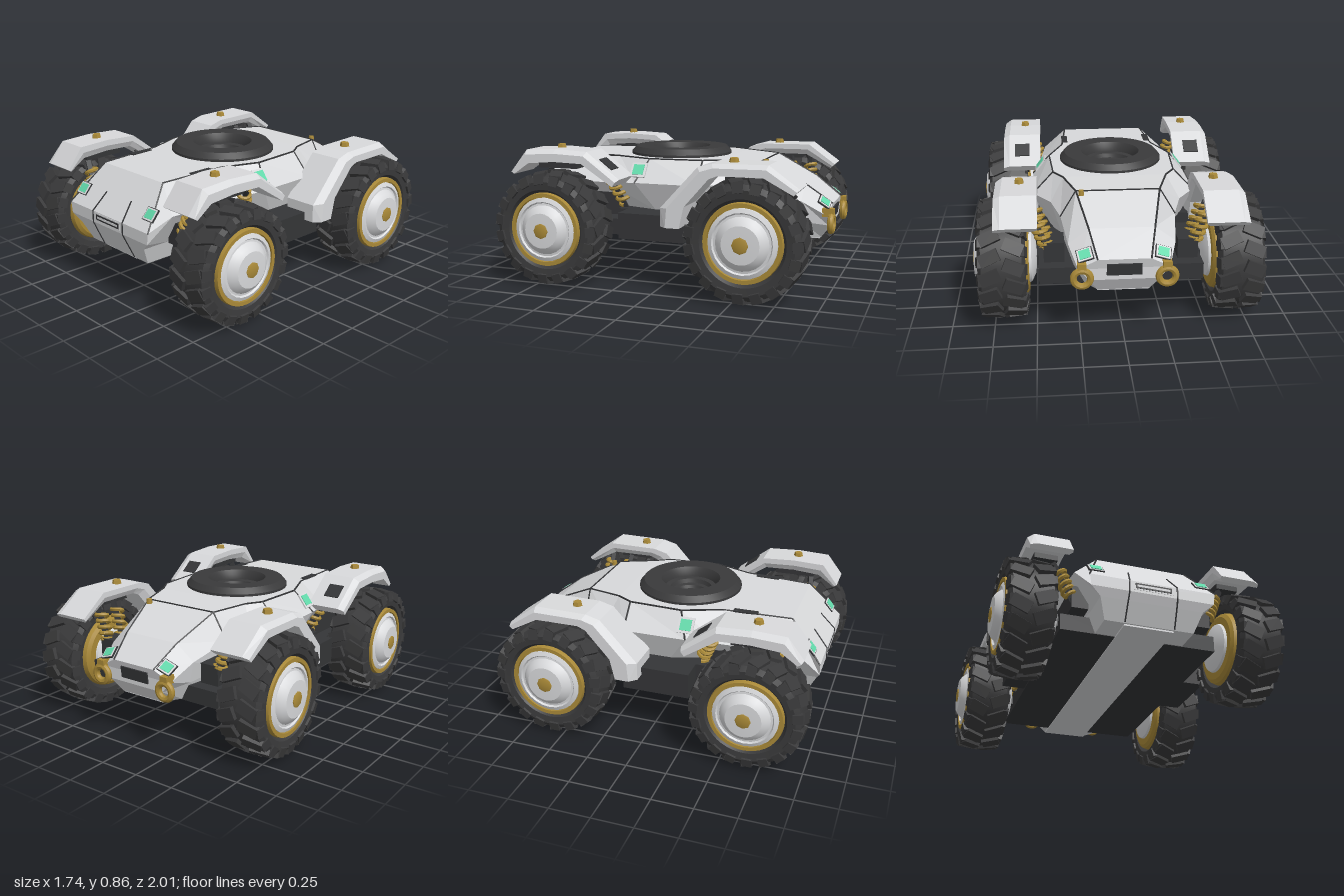
import * as THREE from 'three';
import { mergeGeometries, toCreasedNormals } from 'three/addons/utils/BufferGeometryUtils.js';

const paint = (name, color) => Object.assign(new THREE.MeshStandardMaterial({ color }), { name });
const M = {
  white: paint('hull white', 0xd8d9db),
  tire: paint('rubber', 0x3a3a3b),
  dark: paint('chassis dark', 0x343537),
  gold: paint('gold metal', 0xaa8a38),
  teal: paint('light teal', 0x62d9aa),
};

// Crease hard edges and drop uvs so everything can be merged
function clean(g) {
  g.deleteAttribute('uv');
  return toCreasedNormals(g, 0.5);
}
const merge = (list) => mergeGeometries(list.map(clean));
const box = (w, h, d, x, y, z, rx = 0, rz = 0) =>
  new THREE.BoxGeometry(w, h, d).rotateX(rx).rotateZ(rz).translate(x, y, z);

// Mirror across x = 0, keeping outward winding
function mirror(g) {
  const m = g.index ? g.toNonIndexed() : g.clone();
  m.scale(-1, 1, 1);
  m.setIndex([...Array(m.attributes.position.count).keys()].reverse());
  return m.toNonIndexed();
}

// Capped solid through equal-length rings, flat faces; isOpen skips chosen quads
function loft(rings, isOpen = () => false) {
  const n = rings[0].length, idx = [];
  for (let r = 0; r < rings.length - 1; r++) {
    for (let i = 0; i < n; i++) {
      const a = r * n + i, b = r * n + ((i + 1) % n);
      if (!isOpen(r, i)) idx.push(a, b, a + n, b, b + n, a + n);
    }
  }
  const e = (rings.length - 1) * n;
  // Caps as strips between opposite sides of the ring
  for (let i = 0; i < n / 2 - 1; i++) {
    const j = n - 1 - i;
    idx.push(i, j, i + 1, j, j - 1, i + 1);
    idx.push(e + i, e + i + 1, e + j, e + j, e + i + 1, e + j - 1);
  }
  const P = rings.flat().map((p) => new THREE.Vector3(...p));
  let vol = 0;
  for (let i = 0; i < idx.length; i += 3) vol += P[idx[i]].dot(P[idx[i + 1]].clone().cross(P[idx[i + 2]]));
  if (vol < 0) idx.reverse();
  const g = new THREE.BufferGeometry().setFromPoints(P);
  g.setIndex(idx);
  const flat = g.toNonIndexed();
  flat.computeVertexNormals();
  return flat;
}

// Thin bar from a to b
function bar(a, b, w = 0.008) {
  const A = new THREE.Vector3(...a), B = new THREE.Vector3(...b);
  const q = new THREE.Quaternion().setFromUnitVectors(new THREE.Vector3(0, 0, 1), B.clone().sub(A).normalize());
  return new THREE.BoxGeometry(w, w, A.distanceTo(B)).applyQuaternion(q).translate(...A.add(B).multiplyScalar(0.5).toArray());
}

// Helical spring from a to b
function coil(a, b, turns = 5, r = 0.035) {
  const A = new THREE.Vector3(...a), d = new THREE.Vector3(...b).sub(A);
  const q = new THREE.Quaternion().setFromUnitVectors(new THREE.Vector3(0, 1, 0), d.clone().normalize());
  const pts = Array.from({ length: turns * 8 + 1 }, (_, i) => {
    const t = (i * Math.PI) / 4;
    return new THREE.Vector3(r * Math.cos(t), 0, r * Math.sin(t)).applyQuaternion(q).add(A).addScaledVector(d, i / (turns * 8));
  });
  return new THREE.TubeGeometry(new THREE.CatmullRomCurve3(pts), turns * 12, 0.013, 6);
}

// Revolve (radius, height) pairs; spin lays the axis along the axle
const turn = (pts, n) => new THREE.LatheGeometry(pts.map((p) => new THREE.Vector2(...p)), n);
const spin = (pts, n = 40) => turn(pts, n).rotateZ(-Math.PI / 2);

function tireGeometry() {
  const parts = [spin([[0.228, -0.1], [0.25, -0.13], [0.3, -0.135], [0.33, -0.115], [0.337, 0],
    [0.33, 0.115], [0.3, 0.135], [0.25, 0.13], [0.228, 0.1]], 44)];
  const N = 19;
  for (let i = 0; i < N; i++) {
    for (const s of [-1, 1]) {
      const a = ((i + (s > 0 ? 0.5 : 0)) / N) * Math.PI * 2;
      // Slanted tread block and shoulder block
      parts.push(new THREE.BoxGeometry(0.115, 0.034, 0.072).rotateY(s * 0.4).rotateZ(-s * 0.1).translate(s * 0.066, 0.335, 0).rotateX(a));
      parts.push(new THREE.BoxGeometry(0.03, 0.06, 0.06).rotateZ(s * 0.25).translate(s * 0.124, 0.31, -0.022).rotateX(a));
    }
  }
  return merge(parts);
}

export function createModel() {
  const root = new THREE.Group();
  const add = (name, g, mat) => {
    const m = new THREE.Mesh(g, mat);
    m.name = name;
    root.add(m);
  };
  const both = (name, g, mat) => {
    add(name + 'Left', g, mat);
    add(name + 'Right', mirror(g), mat);
  };

  // Hull: half sections as bottom, lower, widest and top points
  const half = [
    [[0.27, 0.285, 0.92], [0.31, 0.4, 0.975], [0.37, 0.45, 0.998], [0.38, 0.52, 0.998]],
    [[0.27, 0.285, 0.8], [0.31, 0.4, 0.8], [0.43, 0.6, 0.86], [0.28, 0.75, 0.8]],
    [[0.28, 0.285, 0.35], [0.34, 0.42, 0.35], [0.475, 0.61, 0.4], [0.31, 0.76, 0.38]],
    [[0.28, 0.285, 0.1], [0.44, 0.44, 0.08], [0.51, 0.62, 0.2], [0.4, 0.76, 0.14]],
    [[0.28, 0.285, -0.2], [0.44, 0.44, -0.15], [0.51, 0.62, -0.2], [0.38, 0.76, -0.2]],
    [[0.28, 0.285, -0.3], [0.34, 0.43, -0.32], [0.4, 0.62, -0.36], [0.32, 0.76, -0.3]],
    [[0.27, 0.285, -0.53], [0.32, 0.42, -0.53], [0.345, 0.59, -0.53], [0.25, 0.75, -0.53]],
    [[0.22, 0.285, -0.8], [0.28, 0.4, -0.8], [0.31, 0.53, -0.8], [0.19, 0.62, -0.8]],
    [[0.15, 0.285, -0.9], [0.2, 0.37, -0.95], [0.26, 0.44, -0.95], [0.15, 0.5, -0.965]],
  ];
  const hull = half.map((h) => [...h, ...h.slice().reverse().map(([x, y, z]) => [-x, y, z])]);
  add('hull', loft(hull, (r, i) => i === 3 && r > 1 && r < 5), M.white);
  add('bellyPlate', box(0.3, 0.01, 1.8, 0, 0.28, 0.01), M.white);

  // Deck panel with the hatch opening
  const T = half.map((h) => h[3]), mid = T.slice(2, 6);
  const deck = new THREE.Shape([...mid.map(([x, , z]) => new THREE.Vector2(x, -z)),
    ...mid.slice().reverse().map(([x, , z]) => new THREE.Vector2(-x, -z))]);
  deck.holes.push(new THREE.Path().absarc(0, -0.07, 0.25, 0, Math.PI * 2, true));
  add('deck', new THREE.ShapeGeometry(deck, 24).rotateX(-Math.PI / 2).translate(0, 0.76, 0), M.white);

  // Chassis, side sills, axle carriers and fender mounts
  both('chassis', merge([
    box(0.33, 0.1, 1.55, 0.315, 0.331, -0.025),
    box(0.15, 0.16, 0.42, 0.55, 0.37, 0.05), box(0.12, 0.16, 0.5, 0.42, 0.37, 0.07),
    box(0.2, 0.06, 0.1, 0.45, 0.35, 0.66), box(0.2, 0.06, 0.1, 0.45, 0.35, -0.57),
    box(0.12, 0.12, 0.16, 0.39, 0.46, -0.68), box(0.1, 0.14, 0.5, 0.38, 0.47, 0.56),
    box(0.14, 0.05, 0.26, 0.58, 0.735, 0.65), box(0.14, 0.04, 0.2, 0.6, 0.71, -0.53),
  ]), M.dark);

  // Panel seams
  const seams = [0, 1, 2, 3, 4, 5, 6, 7].map((i) => bar(T[i], T[i + 1]));
  const nose = [[0.12, 0.625, 0.907], [0.145, 0.52, 0.998], [0.145, 0.45, 0.998], [0.147, 0.4, 0.975], [0.15, 0.29, 0.922]];
  for (let i = 0; i < 4; i++) seams.push(bar(nose[i], nose[i + 1]));
  seams.push(bar(T[3], half[3][2]), bar(T[4], half[4][2]), bar(T[6], half[6][2]), bar([0, 0.75, -0.53], T[6]));
  both('panelSeams', merge(seams), M.dark);

  // Vents and deck slots
  add('frontVentFrame', box(0.24, 0.05, 0.008, 0, 0.49, 0.997), M.white);
  add('frontVent', box(0.22, 0.034, 0.008, 0, 0.49, 0.999), M.dark);
  add('frontVentSlat', box(0.2, 0.014, 0.008, 0, 0.49, 1.0), M.white);
  add('rearVent', box(0.2, 0.07, 0.009, 0, 0.435, -0.959, -0.11), M.dark);
  both('deckSlot', box(0.04, 0.009, 0.15, 0.29, 0.758, 0.515), M.dark);

  // Lamps: dark gap, white surround and teal lens stacked on the surface
  const lamps = [['frontLamp', 0.325, 0.6, 0.927, -0.7, 0], ['rearLamp', 0.22, 0.515, -0.925, -2.2, -0.3]];
  for (const [name, x, y, z, rx, rz] of lamps) {
    const plate = (w, h, lift) => new THREE.BoxGeometry(w, h, 0.009).translate(0, 0, lift).rotateX(rx).rotateZ(rz).translate(x, y, z);
    both(name + 'Base', plate(0.094, 0.082, 0.003), M.dark);
    both(name + 'Frame', plate(0.084, 0.074, 0.006), M.white);
    both(name, plate(0.064, 0.056, 0.01), M.teal);
  }
  both('sideLampFrame', box(0.1, 0.009, 0.1, 0.46, 0.694, 0.19, 0, -0.92), M.white);
  both('sideLamp', box(0.07, 0.009, 0.07, 0.463, 0.697, 0.19, 0, -0.92), M.teal);

  // Hatch ring with deep stepped bowl and central light
  const ring = [[0.33, 0.74], [0.33, 0.775], [0.3, 0.81], [0.19, 0.81], [0.17, 0.78], [0.165, 0.75],
    [0.135, 0.745], [0.125, 0.72], [0.1, 0.715], [0.09, 0.695], [0, 0.695]];
  add('hatchRing', clean(turn(ring, 48).translate(0, 0, 0.07)), M.tire);
  add('hatchLight', new THREE.CylinderGeometry(0.045, 0.045, 0.008, 8).translate(0, 0.698, 0.07), M.teal);

  // Fenders: stations of outer z,y then inner z,y along the arch
  const fender = (st, xi, xo) => loft(st.map(([z, y, zi, yi]) =>
    [[xi, y, z], [xo - 0.04, y, z], [xo, (y * 2 + yi) / 3, (z * 2 + zi) / 3], [xo, yi, zi], [xi + 0.02, yi, zi], [xi, (y + yi) / 2, (z + zi) / 2]]));
  both('frontFender', fender([[0.95, 0.69, 0.92, 0.67], [0.85, 0.82, 0.82, 0.74], [0.65, 0.83, 0.65, 0.755],
    [0.44, 0.82, 0.46, 0.75], [0.23, 0.66, 0.26, 0.62]], 0.46, 0.71), M.white);
  both('rearFender', fender([[-0.04, 0.4, -0.17, 0.4], [-0.04, 0.51, -0.2, 0.53], [-0.27, 0.76, -0.35, 0.7],
    [-0.36, 0.785, -0.4, 0.72], [-0.69, 0.79, -0.67, 0.72], [-0.87, 0.66, -0.84, 0.63]], 0.48, 0.73), M.white);
  both('fenderWindow', box(0.1, 0.009, 0.1, 0.585, 0.742, 0.335, -0.65), M.dark);

  // Gold bolts
  const bolt = (x, y, z, r) => new THREE.CylinderGeometry(r * 0.8, r, 0.03, 6).translate(x, y, z);
  both('fenderBolts', merge([bolt(0.565, 0.838, 0.66, 0.032), bolt(0.585, 0.797, -0.46, 0.032)]), M.gold);
  add('deckBolt', bolt(0.22, 0.75, -0.56, 0.02), M.gold);

  // Shock absorbers at each axle
  const shocks = [[0.29, 0.37], [0.78, 0.76], [-0.6, -0.56], [-0.72, -0.7]];
  both('springs', merge(shocks.map(([a, b]) => coil([0.43, 0.48, a], [0.5, 0.66, b]))), M.gold);
  both('shockRods', merge(shocks.map(([a, b]) => bar([0.4, 0.42, a], [0.53, 0.7, b], 0.03))), M.dark);

  // Rear tow hooks
  both('towHook', merge([new THREE.TorusGeometry(0.048, 0.02, 8, 20).translate(0.24, 0.395, -0.975),
    box(0.05, 0.05, 0.07, 0.24, 0.46, -0.955)]), M.gold);

  // Wheels: tire, gold rim, white hub and cap
  const hubOuter = spin([[0, 0.1], [0.2, 0.1], [0.2, 0.128], [0.176, 0.138], [0.168, 0.128], [0.155, 0.13], [0.135, 0.155], [0.11, 0.172], [0, 0.177]], 24);
  const hubInner = spin([[0, -0.2], [0.1, -0.19], [0.15, -0.165], [0.16, -0.14], [0, -0.14]], 32);
  const wheel = [
    ['Tire', tireGeometry(), M.tire],
    ['Rim', clean(spin([[0, -0.15], [0.2, -0.15], [0.222, -0.135], [0.232, -0.1], [0.232, 0.115],
      [0.228, 0.134], [0.205, 0.134], [0.205, 0.11], [0, 0.11]])), M.gold],
    ['Hub', merge([hubOuter, hubInner]), M.white],
    ['HubCap', clean(spin([[0.048, 0.16], [0.048, 0.178], [0.038, 0.182], [0, 0.182]], 8)), M.gold],
  ];
  for (const [tag, y, z, s] of [['front', 0.355, 0.66, 0.975], ['rear', 0.36, -0.575, 1.01]]) {
    for (const [part, g, mat] of wheel) both(tag + part, g.clone().scale(1, s, s).translate(0.688, y, z), mat);
  }
  return root;
}
